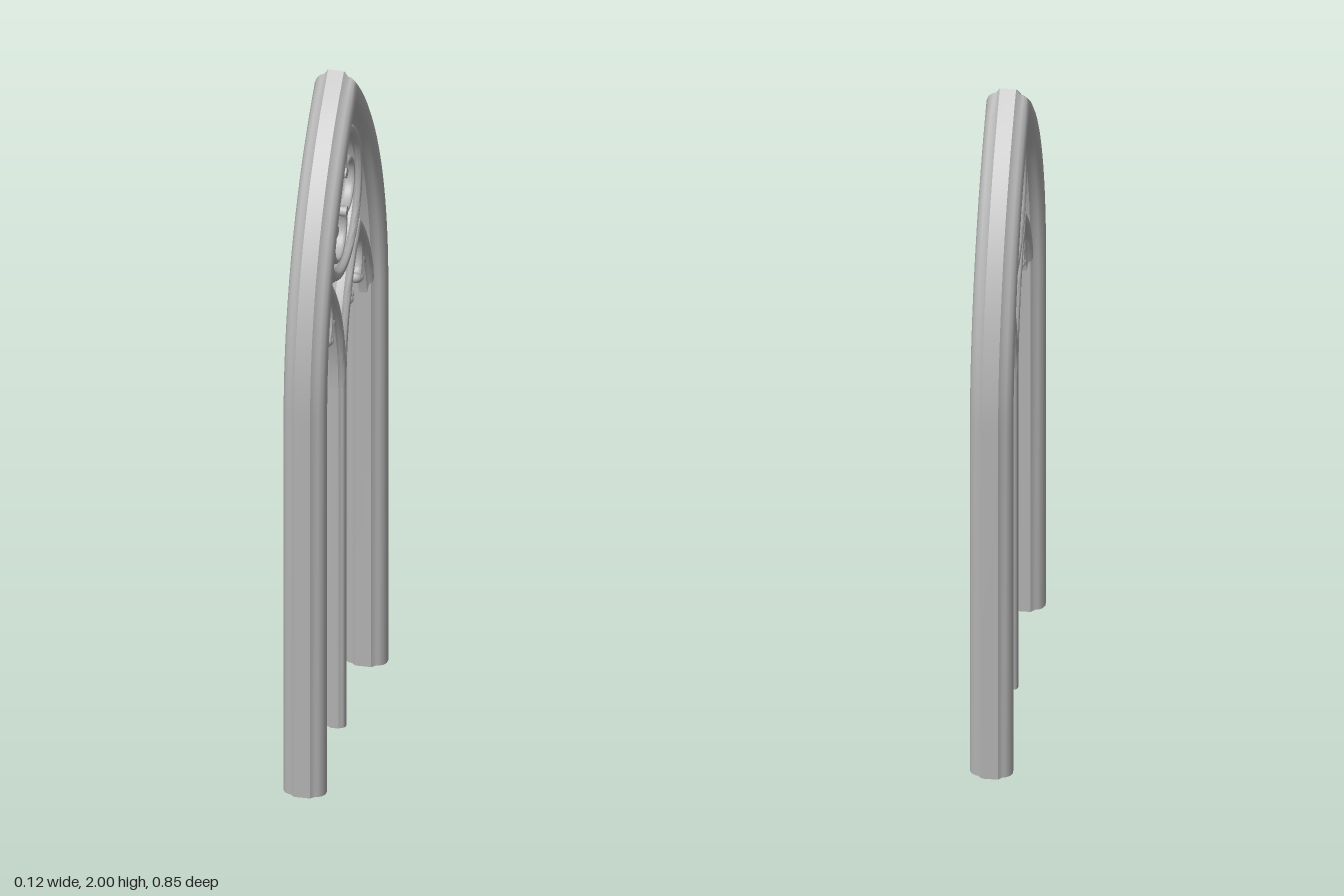
import * as THREE from 'three';
import { toCreasedNormals } from 'three/addons/utils/BufferGeometryUtils.js';

const stone = new THREE.MeshStandardMaterial({ color: 0xb2b2b2 });
stone.name = 'grey stone';

// One quarter of the stepped moulding: [in-plane, depth], as fractions of the half sizes
const quarter = [[1, 0], [1, 0.38], [0.72, 0.58], [0.68, 0.72], [0.5, 0.9], [0.22, 1]];
const half = [...quarter, ...quarter.slice(1).reverse().map(([u, v]) => [-u, v]), [-1, 0]];
const moulding = [...half, ...half.slice(1, -1).reverse().map(([u, v]) => [u, -v])];
const round = Array.from({ length: 12 }, (_, i) => [Math.cos(i * Math.PI / 6), Math.sin(i * Math.PI / 6)]);

// Sweeps a profile along a path of [z, y] points, with mitred corners
function sweep(name, path, width, depth, profile = moulding, closed = false) {
  const n = path.length, m = profile.length, pos = [], index = [];
  const dir = (a, b) => new THREE.Vector2(b[0] - a[0], b[1] - a[1]).normalize();
  path.forEach((p, i) => {
    const prev = closed ? path[(i + n - 1) % n] : path[i - 1];
    const next = closed ? path[(i + 1) % n] : path[i + 1];
    const t1 = prev ? dir(prev, p) : dir(p, next);
    const t2 = next ? dir(p, next) : t1;
    const t = t1.clone().add(t2).normalize();
    const w = width / t.dot(t1);
    for (const [u, v] of profile) pos.push(v * depth, p[1] - t.x * u * w, p[0] + t.y * u * w);
  });
  for (let i = 0; i < (closed ? n : n - 1); i++) {
    for (let j = 0; j < m; j++) {
      const k = (j + 1) % m, r = i * m, s = ((i + 1) % n) * m;
      index.push(r + j, r + k, s + k, r + j, s + k, s + j);
    }
  }
  if (!closed) {
    const c = n * m, e = (n - 1) * m;
    for (const p of [path[0], path[n - 1]]) pos.push(0, p[1], p[0]);
    for (let j = 0; j < m; j++) {
      const k = (j + 1) % m;
      index.push(c, k, j, c + 1, e + j, e + k);
    }
  }
  const g = new THREE.BufferGeometry();
  g.setAttribute('position', new THREE.Float32BufferAttribute(pos, 3));
  g.setIndex(index);
  const mesh = new THREE.Mesh(toCreasedNormals(g, 0.6), stone);
  mesh.name = name;
  return mesh;
}

// Pointed arch of two arcs, centred on z = c
function pointedArch(c, halfWidth, spring, rise, steps) {
  const R = (halfWidth ** 2 + rise ** 2) / (2 * halfWidth);
  const end = Math.asin(rise / R), side = [];
  for (let i = 0; i <= steps; i++) {
    const a = end * i / steps;
    side.push([halfWidth - R + R * Math.cos(a), spring + R * Math.sin(a)]);
  }
  const other = side.slice(0, -1).reverse().map(([z, y]) => [-z, y]);
  return [...side, ...other].map(([z, y]) => [z + c, y]);
}

function arc(cz, cy, r, from, to, steps) {
  return Array.from({ length: steps + 1 }, (_, i) => {
    const a = from + (to - from) * i / steps;
    return [cz + r * Math.cos(a), cy + r * Math.sin(a)];
  });
}

function curve(points) {
  const c = new THREE.SplineCurve(points.map(p => new THREE.Vector2(...p)));
  return c.getPoints(12).map(p => [p.x, p.y]);
}

function knob(name, z, y, r, depth) {
  const mesh = new THREE.Mesh(new THREE.SphereGeometry(1, 12, 8), stone);
  mesh.scale.set(depth, r, r);
  mesh.position.set(0, y, z);
  mesh.name = name;
  return mesh;
}

export function createModel() {
  const model = new THREE.Group();
  model.name = 'gothicWindowTracery';

  // Outer frame: jambs and pointed arch in one sweep
  const arch = pointedArch(0, 0.381, 1.15, 0.797, 20);
  model.add(sweep('outerFrame', [[0.381, 0], ...arch, [-0.381, 0]], 0.042, 0.058));

  // Central mullion
  model.add(sweep('mullion', [[0, 0], [0, 1.06]], 0.02, 0.028));

  // Pair of lancet arches with cusped foils
  for (const s of [1, -1]) {
    const lancet = new THREE.Group();
    lancet.name = s > 0 ? 'leftLancet' : 'rightLancet';
    const c = 0.185;
    lancet.add(sweep('lancetArch', pointedArch(s * c, 0.185, 1.04, 0.4, 14), 0.02, 0.028));
    for (const k of [1, -1]) {
      const at = pts => curve(pts.map(([z, y]) => [s * c + k * z, y]));
      lancet.add(sweep('lowerFoil', at([[0.148, 1.215], [0.13, 1.255], [0.098, 1.277], [0.07, 1.265], [0.058, 1.24]]), 0.011, 0.017, round));
      lancet.add(sweep('upperFoil', at([[0.058, 1.24], [0.077, 1.285], [0.076, 1.33], [0.05, 1.375], [0, 1.42]]), 0.011, 0.017, round));
      lancet.add(knob('cuspKnob', s * c + k * 0.064, 1.24, 0.018, 0.022));
      lancet.add(knob('cuspKnob', s * c + k * 0.047, 1.246, 0.015, 0.02));
    }
    model.add(lancet);
  }

  // Round window: ring, four foils and cusp knobs
  const rose = new THREE.Group();
  rose.name = 'roundWindow';
  const cy = 1.6;
  rose.add(sweep('ring', arc(0, cy, 0.2, 0, Math.PI * 2, 48).slice(0, -1), 0.02, 0.028, moulding, true));
  for (let i = 0; i < 4; i++) {
    const a = i * Math.PI / 2, b = a + Math.PI / 4;
    const foil = arc(0.098 * Math.cos(a), cy + 0.098 * Math.sin(a), 0.074, a - 2.2, a + 2.2, 24);
    rose.add(sweep('foil', foil, 0.009, 0.015, round));
    const stud = new THREE.Mesh(new THREE.CylinderGeometry(0.015, 0.015, 0.036, 8), stone);
    stud.name = 'foilKnob';
    stud.rotation.z = Math.PI / 2;
    stud.position.set(0, cy + 0.083 * Math.sin(b), 0.083 * Math.cos(b));
    rose.add(stud);
  }
  model.add(rose);
  return model;
}
